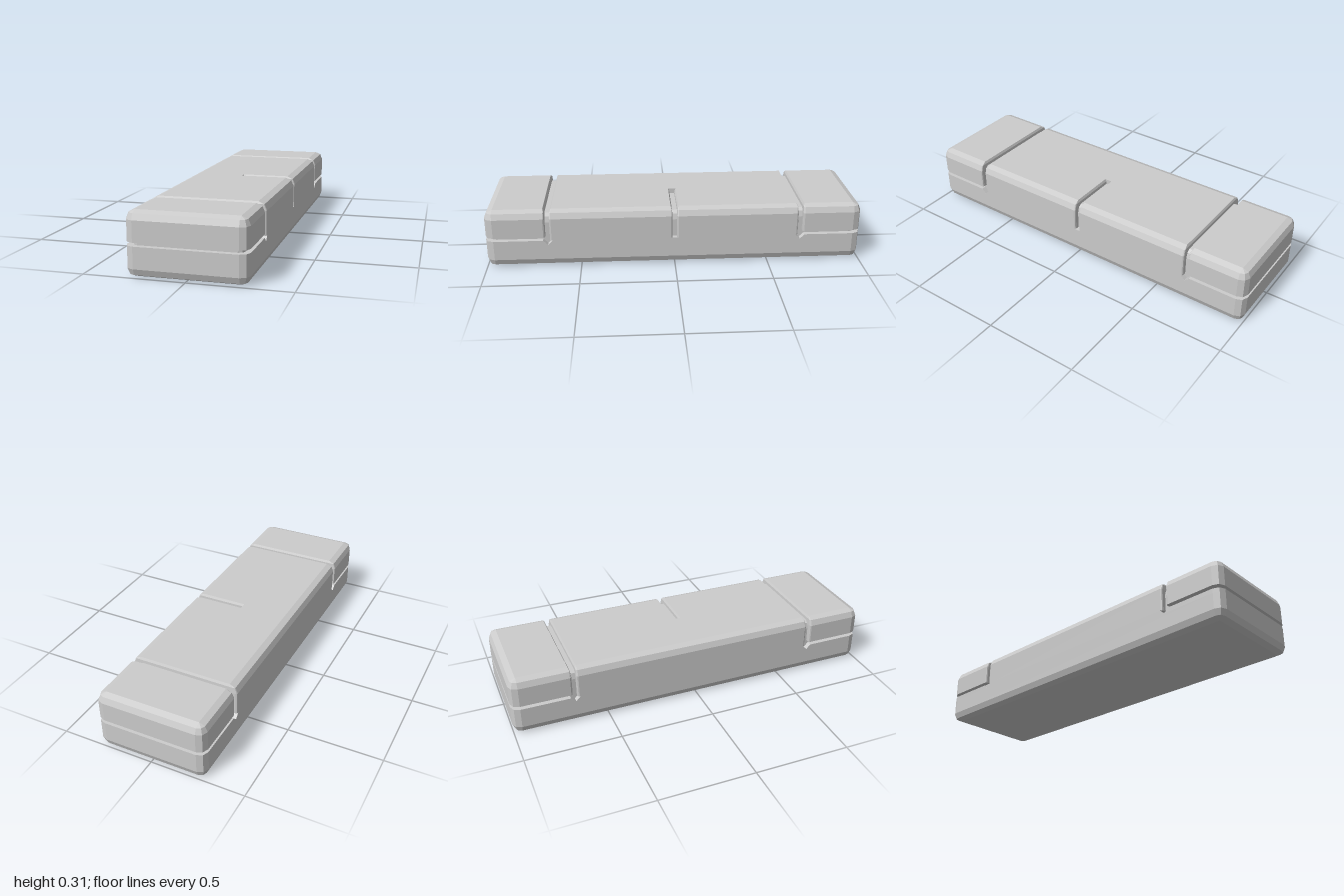
import * as THREE from 'three';

const W = 0.293, L = 1, H = 0.315;   // half width, half length, height
const R = 0.043;                     // bevel of the outer edges
const G = 0.009;                     // small bevel along the cut grooves
const ARC = [[0, 1], [0.293, 0.293], [1, 0]]; // two-step bevel: inset, drop

const material = new THREE.MeshStandardMaterial({ color: 0xcccccc, flatShading: true });

// Horizontal rectangle with two-step rounded corners.
function ring({ y, x, z, c }) {
  const corners = [[1, 1], [0, 1], [0, 0], [1, 0]];
  const points = [];
  corners.forEach(([ix, iz], k) => {
    const r = Math.max(c[ix + 2 * iz], 0.0005);
    for (let s = 0; s < 3; s++) {
      const a = (k + s / 2) * Math.PI / 2;
      points.push([
        x[ix] + (ix ? -r : r) + r * Math.cos(a), y,
        z[iz] + (iz ? -r : r) + r * Math.sin(a),
      ]);
    }
  });
  return points;
}

// Solid lofted through stacked sections, bottom to top, with flat caps.
function loft(name, sections) {
  const rings = sections.map(ring), n = rings[0].length;
  const index = [];
  for (let j = 0; j < rings.length - 1; j++) {
    for (let i = 0; i < n; i++) {
      const a = j * n + i, b = j * n + (i + 1) % n;
      index.push(a, a + n, b, b, a + n, b + n);
    }
  }
  const top = (rings.length - 1) * n;
  for (let i = 1; i < n - 1; i++) {
    index.push(0, i, i + 1, top, top + i + 1, top + i);
  }
  const indexed = new THREE.BufferGeometry();
  indexed.setAttribute('position', new THREE.Float32BufferAttribute(rings.flat(2), 3));
  indexed.setIndex(index);
  const geometry = indexed.toNonIndexed();
  geometry.computeVertexNormals();
  const mesh = new THREE.Mesh(geometry, material);
  mesh.name = name;
  return mesh;
}

// Block with its own bevel on each side: rx = [left, right], rz = [back, front].
function block(name, { x, y, z, rx, rz, bevelTop = true, bevelBottom = false }) {
  const section = (height, inset) => ({
    y: height,
    x: [x[0] + rx[0] * inset, x[1] - rx[1] * inset],
    z: [z[0] + rz[0] * inset, z[1] - rz[1] * inset],
    c: [0, 1, 2, 3].map(k => Math.min(rx[k & 1], rz[k >> 1]) * (1 - inset)),
  });
  const bottom = bevelBottom
    ? [...ARC].reverse().map(([i, d]) => section(y[0] + d * R, i)) : [section(y[0], 0)];
  const upper = bevelTop
    ? ARC.map(([i, d]) => section(y[1] - d * R, i)) : [section(y[1], 0)];
  return loft(name, [...bottom, ...upper]);
}

export function createModel() {
  const model = new THREE.Group();
  const wide = [-W, W], tip = 0.126, seam = 0.15;
  const inner = 0.66, outer = 0.685, mid = 0.672, slot = 0.012;

  // Lower half with rounded bottom edges
  model.add(block('base', {
    x: wide, y: [0, tip], z: [-L, L], rx: [R, R], rz: [R, R],
    bevelTop: false, bevelBottom: true,
  }));

  // Recessed core forming the floors of all grooves
  model.add(block('grooveCore', {
    x: [-0.265, 0.265], y: [0.1, 0.287], z: [-0.972, 0.972],
    rx: [0.028, 0.028], rz: [0.028, 0.028],
  }));

  // Central band, tapered where the grooves end in a point
  const none = [0, 0, 0, 0];
  model.add(loft('centreBand', [
    { y: tip, x: wide, z: [-mid, mid], c: none },
    { y: seam, x: wide, z: [-mid + 0.025, mid - 0.025], c: none },
  ]));

  // Central upper block: whole on one side, split by the short slot on the other
  model.add(block('centreBlockRight', {
    x: [-W, 0], y: [seam, H], z: [-inner, inner], rx: [R, 0], rz: [G, G],
  }));
  model.add(block('centreBlockLeftFront', {
    x: [0, W], y: [seam, H], z: [slot, inner], rx: [0, R], rz: [G, G],
  }));
  model.add(block('centreBlockLeftBack', {
    x: [0, W], y: [seam, H], z: [-inner, -slot], rx: [0, R], rz: [G, G],
  }));

  // Matching ends: lower lip and separate cap
  ['front', 'back'].forEach((side, i) => {
    const end = new THREE.Group();
    end.name = side + 'End';
    const c = [0, 0, R, R];
    end.add(loft('lowerLip', [
      { y: tip, x: wide, z: [mid, L], c },
      { y: seam, x: wide, z: [mid + 0.025, L], c },
    ]));
    end.add(block('upperCap', {
      x: wide, y: [0.168, H], z: [outer, L], rx: [R, R], rz: [G, R],
    }));
    end.rotation.y = i * Math.PI;
    model.add(end);
  });

  return model;
}
